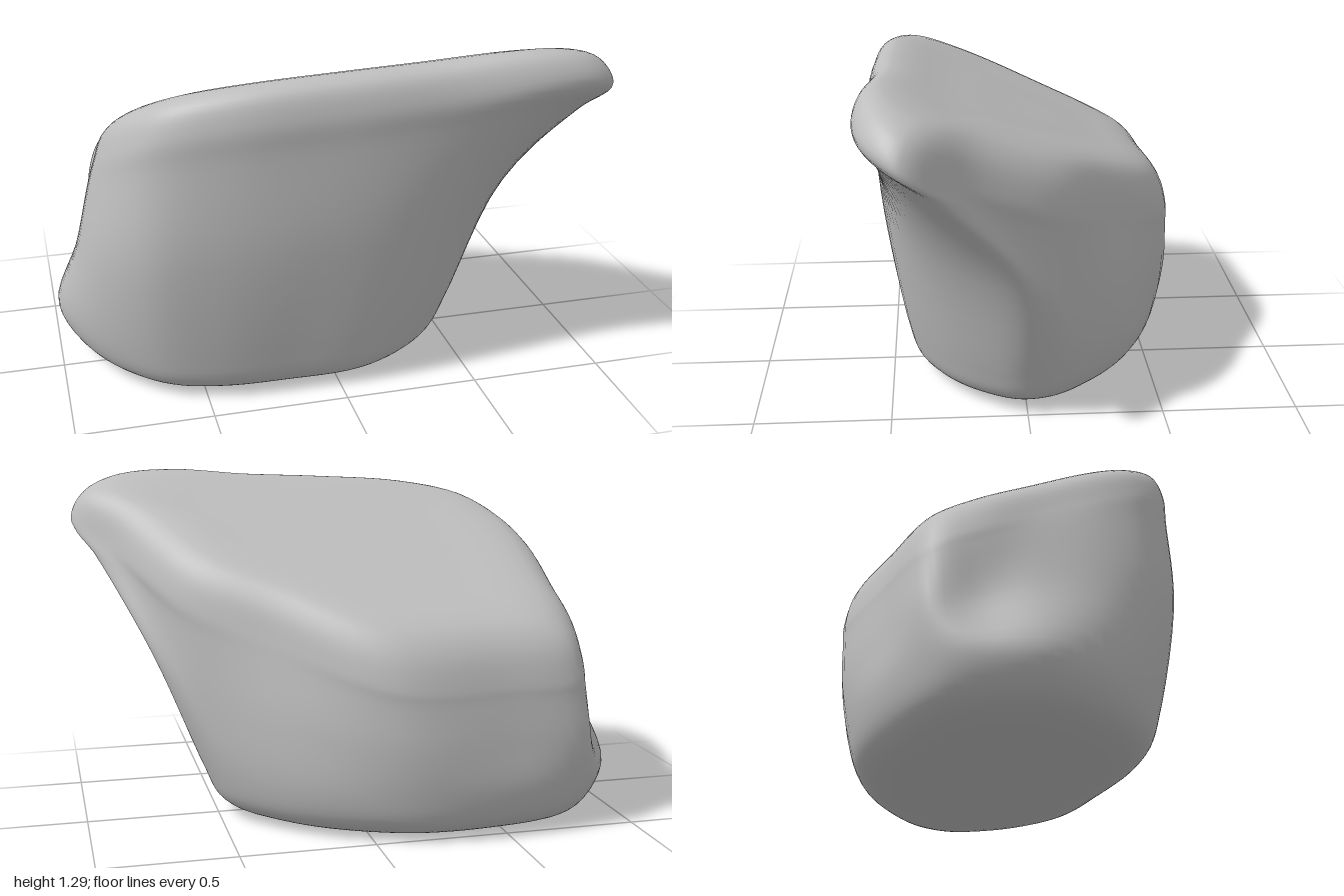
import * as THREE from 'three';
import { mergeVertices } from 'three/addons/utils/BufferGeometryUtils.js';

// Outlines [x, z], matched point by point: starting at the overhanging tip, then front, left, back
const FOOT = [[.55, .03], [.5, .15], [.37, .3], [.14, .425], [-.2, .44], [-.47, .425], [-.68, .36], [-.85, .2],
  [-.96, -.01], [-.995, -.2], [-.93, -.36], [-.8, -.51], [-.5, -.58], [-.13, -.57], [.24, -.41], [.45, -.22], [.53, -.1]];
const WAIST = [[.73, .05], [.67, .2], [.52, .37], [.25, .49], [-.15, .525], [-.48, .5], [-.7, .43], [-.85, .26],
  [-.91, .05], [-.9, -.19], [-.84, -.37], [-.8, -.53], [-.5, -.58], [-.1, -.59], [.33, -.36], [.57, -.15], [.67, -.05]];
const RIM = [[1, .42], [.91, .53], [.7, .585], [.35, .56], [0, .555], [-.4, .53], [-.66, .44], [-.78, .28],
  [-.83, .1], [-.83, -.15], [-.82, -.38], [-.75, -.53], [-.45, -.57], [-.05, -.58], [.35, -.31], [.63, -.11], [.83, .2]];

const AROUND = 102, UP = 56;
const topY = (x, z) => 1.04 + 0.48 * z + 0.04 * x; // sloping upper face
const rimY = (i) => topY(...RIM[i]) - 0.17;
const waistY = (i) => 0.14 + 0.5 * (rimY(i) - 0.14);

// A closed ring: the outline scaled about a centre, with a height rule
function ring(outline, scale, centre, height) {
  return outline.map(([x, z], i) => {
    const px = centre[0] + (x - centre[0]) * scale;
    const pz = centre[1] + (z - centre[1]) * scale;
    return new THREE.Vector3(px, height(px, pz, i), pz);
  });
}

function rockGeometry() {
  const low = [-0.25, -0.05], high = [0, 0];
  const waist = ring(WAIST, 1, low, (x, z, i) => waistY(i));
  const rim = ring(RIM, 1, high, (x, z, i) => rimY(i));
  // Slightly hollow sides below the rim
  const neck = waist.map((p, i) => {
    const q = p.clone().lerp(rim[i], 0.71);
    q.y = p.y + (rim[i].y - p.y) * 0.75;
    return q;
  });
  const rings = [
    ring(FOOT, 0, low, () => 0.002),
    ring(FOOT, 0.5, low, () => 0.005),
    ring(FOOT, 0.8, low, () => 0.02),
    ring(FOOT, 0.925, low, () => 0.07),
    ring(FOOT, 1, low, () => 0.19),
    waist, neck, rim,
    ring(RIM, 0.95, high, (x, z) => topY(x, z) - 0.065),
    ring(RIM, 0.84, high, (x, z) => topY(x, z) - 0.008),
    ring(RIM, 0.45, high, topY),
    ring(RIM, 0, high, topY),
  ].map((points) => new THREE.CatmullRomCurve3(points, true));

  // Smooth skin through the rings
  const positions = [], index = [];
  for (let j = 0; j < AROUND; j++) {
    const column = new THREE.CatmullRomCurve3(rings.map((r) => r.getPoint(j / AROUND)));
    for (let k = 0; k <= UP; k++) positions.push(...column.getPoint(k / UP).toArray());
  }
  for (let j = 0; j < AROUND; j++) {
    const a = j * (UP + 1), b = ((j + 1) % AROUND) * (UP + 1);
    for (let k = 0; k < UP; k++) {
      if (k < UP - 1) index.push(a + k, a + k + 1, b + k + 1);
      else index.push(a + k, a + k + 1, b + k);
      if (k > 0 && k < UP - 1) index.push(a + k, b + k + 1, b + k);
    }
  }
  let geometry = new THREE.BufferGeometry();
  geometry.setAttribute('position', new THREE.Float32BufferAttribute(positions, 3));
  geometry.setIndex(index);
  geometry = mergeVertices(geometry, 1e-4);
  geometry.computeVertexNormals();
  return geometry;
}

export function createModel() {
  const stone = new THREE.MeshStandardMaterial({ color: 0xbebebe });
  stone.name = 'stone grey';

  const group = new THREE.Group();
  group.name = 'rock';
  const boulder = new THREE.Mesh(rockGeometry(), stone);
  boulder.name = 'boulder';
  group.add(boulder);
  return group;
}
